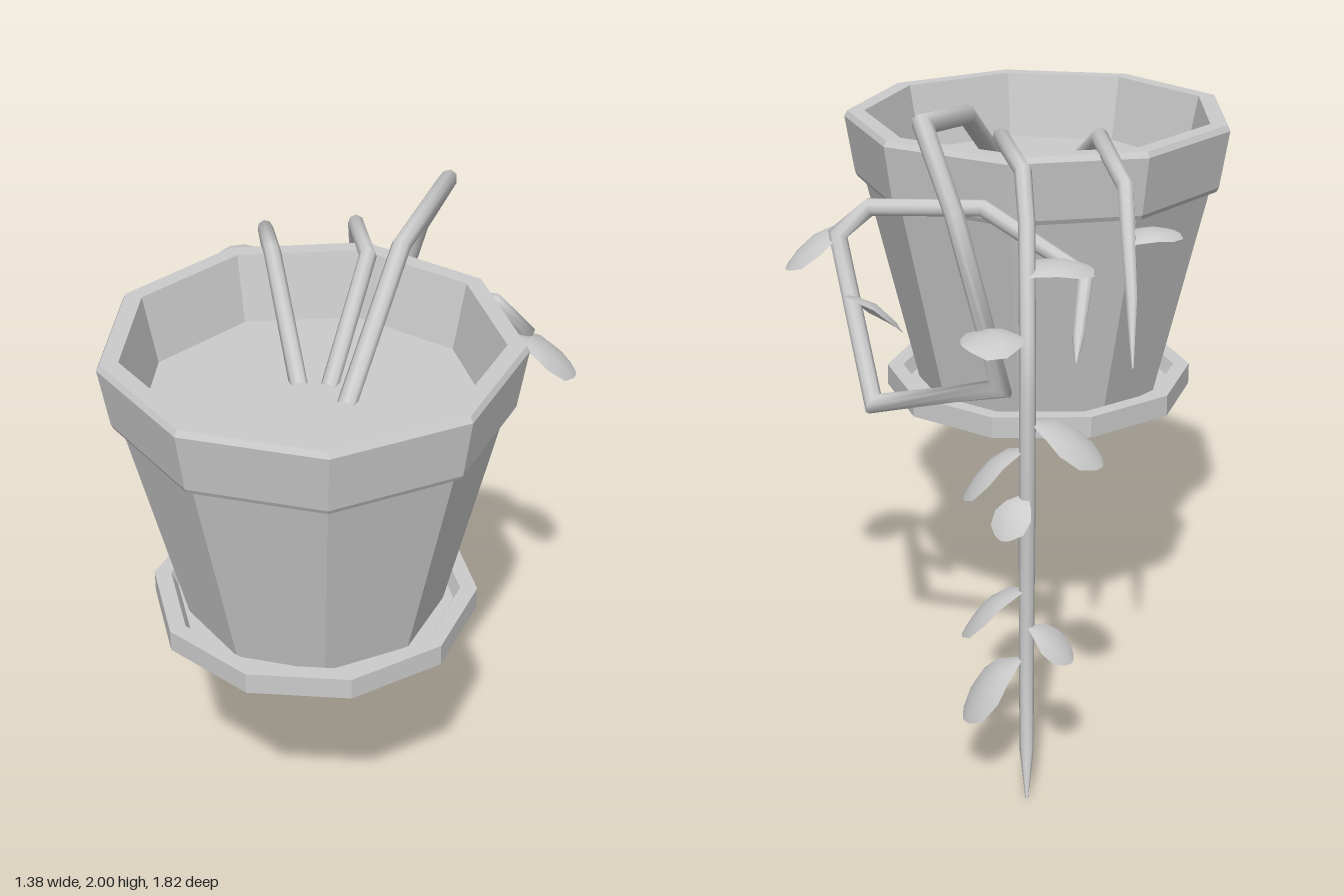
import * as THREE from 'three';

const V = (a) => new THREE.Vector3(...a);
const smooth = new THREE.MeshStandardMaterial({ color: 0xcccccc });
const faceted = new THREE.MeshStandardMaterial({ color: 0xcccccc, flatShading: true });
const thin = new THREE.MeshStandardMaterial({ color: 0xcccccc, side: THREE.DoubleSide });

// Faceted turned part with one corner on +x
function turned(name, profile, sides) {
  const pts = profile.map(([r, y]) => new THREE.Vector2(r, y));
  const mesh = new THREE.Mesh(new THREE.LatheGeometry(pts, sides, Math.PI / 2), faceted);
  mesh.name = name;
  mesh.position.set(-0.1, 0, 0.287);
  return mesh;
}

// Stem swept along straight runs with mitred corners; each point is [x, y, z, radius]
function stem(name, path, sides = 8) {
  const pts = path.map(([x, y, z]) => new THREE.Vector3(x, y, z));
  const pos = [], idx = [];
  const last = pts.length - 1;
  let side = new THREE.Vector3(1, 0, 0);
  pts.forEach((p, i) => {
    const before = p.clone().sub(pts[Math.max(i - 1, 0)]).normalize();
    const after = pts[Math.min(i + 1, last)].clone().sub(p).normalize();
    const t = before.clone().add(after).normalize();
    side = side.clone().addScaledVector(t, -side.dot(t)).normalize();
    const other = t.clone().cross(side);
    // widen the ring in the plane of the bend so the thickness stays even
    const bend = after.clone().sub(before);
    const stretch = i > 0 && i < last && bend.length() > 0.01
      ? Math.min(1 / Math.max(t.dot(after), 0.3), 1.6) - 1 : 0;
    bend.normalize();
    for (let k = 0; k < sides; k++) {
      const a = (k / sides) * Math.PI * 2;
      const v = side.clone().multiplyScalar(Math.cos(a)).addScaledVector(other, Math.sin(a));
      v.addScaledVector(bend, stretch * v.dot(bend)).multiplyScalar(path[i][3]).add(p);
      pos.push(v.x, v.y, v.z);
      if (i < last) {
        const q = i * sides + k, r = i * sides + ((k + 1) % sides);
        idx.push(q, r, q + sides, r, r + sides, q + sides);
      }
    }
  });
  const g = new THREE.BufferGeometry();
  g.setAttribute('position', new THREE.Float32BufferAttribute(pos, 3));
  g.setIndex(idx);
  g.computeVertexNormals();
  const mesh = new THREE.Mesh(g, smooth);
  mesh.name = name;
  return mesh;
}

// Shield-shaped leaf: pointed at the stem, broad at the far end, arched and cupped
const leafRows = [[0, 0.02], [0.28, 0.33], [0.5, 0.47], [0.78, 0.43], [0.95, 0.2], [1, 0.04]];
function leaf(base, tip, width = 0.24, hint = [0, 1, 0]) {
  const b = V(base), dir = V(tip).sub(b), len = dir.length();
  const d = dir.clone().normalize();
  const s = d.clone().cross(V(hint)).normalize();
  const n = s.clone().cross(d);
  const g = new THREE.PlaneGeometry(1, 1, 4, leafRows.length - 1);
  const p = g.attributes.position;
  for (let i = 0; i < p.count; i++) {
    const [t, half] = leafRows[Math.floor(i / 5)];
    const w = ((i % 5) / 2 - 1) * half;
    const v = b.clone().addScaledVector(d, t * len).addScaledVector(s, w * width)
      .addScaledVector(n, 0.14 * len * Math.sin(Math.PI * t) - 0.5 * width * w * w);
    p.setXYZ(i, v.x, v.y, v.z);
  }
  g.computeVertexNormals();
  const mesh = new THREE.Mesh(g, thin);
  mesh.name = 'leaf';
  return mesh;
}

export function createModel() {
  const model = new THREE.Group();
  model.name = 'hangingPottedPlant';

  // Pot with stepped rim
  model.add(turned('pot', [
    [0, 0.91], [0.4, 0.91], [0.57, 1.615], [0.592, 1.615], [0.6, 1.63],
    [0.63, 1.815], [0.62, 1.833], [0.565, 1.833], [0.52, 1.62],
  ], 9));
  model.add(turned('soil', [[0.525, 1.62], [0, 1.62]], 9));

  // Saucer
  model.add(turned('saucer', [
    [0, 0.89], [0.508, 0.89], [0.508, 0.96], [0.455, 0.96], [0.435, 0.918], [0, 0.918],
  ], 10));

  // Three trailing stems
  model.add(stem('loopingStem', [
    [0, 1.61, 0.3, 0.03], [0.13, 1.92, -0.14, 0.03], [0.25, 1.975, -0.49, 0.03],
    [0.16, 1.75, -0.63, 0.029], [0.03, 1.26, -0.72, 0.028], [0.41, 1.12, -0.48, 0.028],
    [0.52, 1.58, -0.25, 0.027], [0.42, 1.67, -0.27, 0.027], [0.08, 1.68, -0.32, 0.026],
    [-0.22, 1.52, -0.48, 0.024], [-0.19, 1.41, -0.7, 0.018], [-0.18, 1.37, -0.81, 0.003],
  ]));
  model.add(stem('longHangingStem', [
    [-0.06, 1.61, 0.2, 0.027], [0.025, 1.86, -0.18, 0.027], [-0.035, 1.83, -0.46, 0.026],
    [-0.045, 1.71, -0.59, 0.025], [-0.045, 1.42, -0.74, 0.024], [-0.045, 1.25, -0.79, 0.024],
    [-0.045, 0.85, -0.785, 0.024], [-0.045, 0.45, -0.76, 0.023], [-0.045, 0.14, -0.83, 0.021],
    [-0.045, 0.01, -0.895, 0.004],
  ]));
  model.add(stem('shortStem', [
    [-0.15, 1.61, 0.2, 0.028], [-0.27, 1.86, -0.18, 0.027], [-0.33, 1.79, -0.48, 0.025],
    [-0.34, 1.52, -0.69, 0.018], [-0.34, 1.35, -0.8, 0.003],
  ]));

  // Leaves: base on the stem, tip, width
  const leaves = new THREE.Group();
  leaves.name = 'leaves';
  [
    [[-0.34, 1.65, -0.6], [-0.47, 1.66, -0.48], 0.18],
    [[-0.04, 1.58, -0.68], [-0.22, 1.58, -0.56], 0.23],
    [[0.49, 1.45, -0.46], [0.34, 1.32, -0.37], 0.25],
    [[0.47, 1.59, -0.19], [0.685, 1.46, -0.215], 0.24],
    [[-0.05, 1.42, -0.75], [0.14, 1.42, -0.8], 0.27],
    [[-0.05, 1.18, -0.77], [-0.26, 1.06, -0.82], 0.24],
    [[-0.045, 1.1, -0.78], [0.14, 0.94, -0.76], 0.24],
    [[-0.045, 0.96, -0.78], [0.03, 0.85, -0.87], 0.14],
    [[-0.045, 0.65, -0.78], [0.145, 0.49, -0.74], 0.24],
    [[-0.045, 0.53, -0.77], [-0.18, 0.43, -0.82], 0.17],
    [[-0.035, 0.42, -0.77], [0.145, 0.23, -0.8], 0.25],
  ].forEach((l) => leaves.add(leaf(...l)));
  model.add(leaves);

  return model;
}
